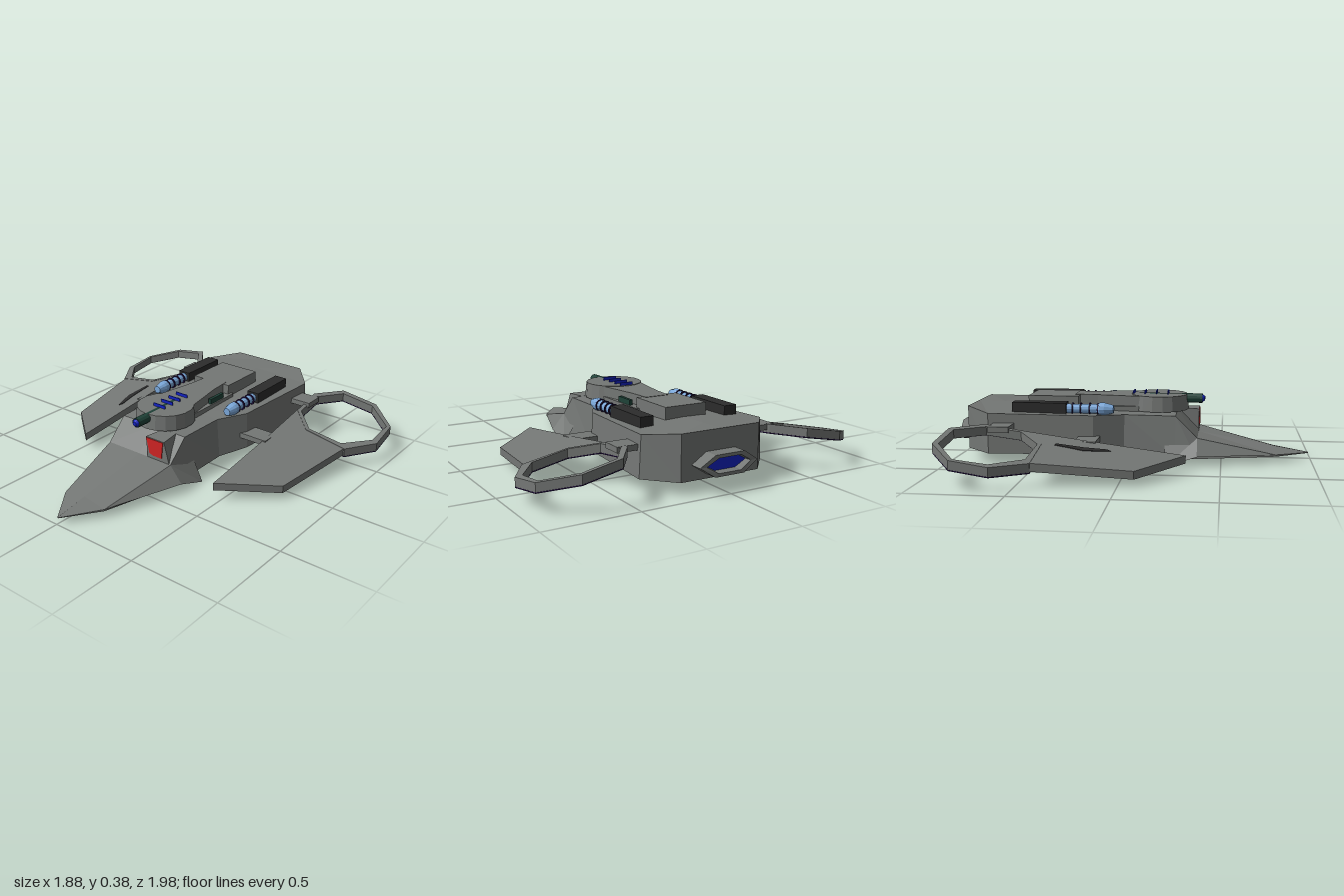
import * as THREE from 'three';

const mat = (name, color, side = THREE.FrontSide) => {
  const m = new THREE.MeshStandardMaterial({ color, flatShading: true, side });
  m.name = name;
  return m;
};

export function createModel() {
  const model = new THREE.Group();
  model.name = 'gunship';
  const grey = mat('hull grey', 0x747775, THREE.DoubleSide);
  const black = mat('housing black', 0x2c2c2c);
  const red = mat('window red', 0xd02424);
  const blue = mat('glow blue', 0x1222c4);
  const sky = mat('barrel light blue', 0x7ba8da);
  const green = mat('barrel dark green', 0x1f4238);
  const purple = mat('trim purple', 0x1f0c3c);

  const add = (name, geo, material, x = 0, y = 0, z = 0, parent = model) => {
    const mesh = new THREE.Mesh(geo, material);
    mesh.name = name;
    mesh.position.set(x, y, z);
    parent.add(mesh);
    return mesh;
  };
  const box = (name, x0, x1, y0, y1, z0, z1, material, parent) =>
    add(name, new THREE.BoxGeometry(x1 - x0, y1 - y0, z1 - z0), material,
      (x0 + x1) / 2, (y0 + y1) / 2, (z0 + z1) / 2, parent);

  // Skin between sections listed back to front, each counter-clockwise from the front
  const loft = (sections, caps = true) => {
    const n = sections[0].length, pos = [];
    const tri = (...p) => p.forEach(q => pos.push(...q));
    for (let i = 0; i + 1 < sections.length; i++)
      for (let j = 0; j < n; j++) {
        const k = (j + 1) % n, A = sections[i], B = sections[i + 1];
        tri(A[j], A[k], B[k]);
        tri(A[j], B[k], B[j]);
      }
    const back = sections[0], front = sections[sections.length - 1];
    if (caps) for (let j = 1; j < n - 1; j++) {
      tri(back[0], back[j + 1], back[j]);
      tri(front[0], front[j], front[j + 1]);
    }
    const g = new THREE.BufferGeometry();
    g.setAttribute('position', new THREE.Float32BufferAttribute(pos, 3));
    g.computeVertexNormals();
    return g;
  };

  // Flat outline given in x, z, raised between two heights
  const slab = (points, y0, y1, holes = []) => {
    const toV = p => new THREE.Vector2(p[0], -p[1]);
    const shape = new THREE.Shape(points.map(toV));
    holes.forEach(h => shape.holes.push(new THREE.Path(h.map(toV))));
    const g = new THREE.ExtrudeGeometry(shape, { depth: y1 - y0, bevelEnabled: false });
    return g.rotateX(-Math.PI / 2).translate(0, y0, 0);
  };

  // Hull and nose: z, top half-width, bottom half-width, bottom, top edge, top centre
  const hull = [
    [-0.91, 0.23, 0.23, 0.07, 0.31, 0.31],
    [-0.76, 0.36, 0.37, 0.07, 0.29, 0.305],
    [-0.19, 0.32, 0.33, 0.07, 0.28, 0.285],
    [-0.03, 0.23, 0.25, 0.05, 0.275, 0.28],
    [0.25, 0.22, 0.25, 0.045, 0.27, 0.275],
    [0.37, 0.22, 0.25, 0.04, 0.15, 0.15],
    [0.80, 0.14, 0.14, 0.04, 0.05, 0.075],
    [0.99, 0.003, 0.003, 0.037, 0.04, 0.042],
  ];
  add('hull', loft(hull.map(([z, t, b, y0, y1, yc]) =>
    [[-b, y0, z], [b, y0, z], [t, y1, z], [0, yc, z], [-t, y1, z]])), grey);
  box('bellyHatch', -0.11, 0.11, 0.062, 0.07, -0.82, -0.5, grey);
  box('bellyStrip', 0.07, 0.09, 0.058, 0.062, -0.6, -0.48, green);

  // Flared skirts behind the nose, ending in points
  for (const s of [1, -1]) {
    const p = [[0.22, 0.15, 0.37], [0.14, 0.05, 0.8], [0.295, 0.06, 0.37],
      [0.22, 0.15, 0.19], [0.305, 0.005, 0.2]].map(q => [s * q[0], q[1], q[2]]);
    const faces = [[0, 2, 1], [0, 4, 2], [0, 3, 4]];
    const g = new THREE.BufferGeometry();
    g.setAttribute('position', new THREE.Float32BufferAttribute(
      faces.flatMap(f => (s > 0 ? f : [f[0], f[2], f[1]]).flatMap(i => p[i])), 3));
    g.computeVertexNormals();
    add(s > 0 ? 'leftSkirt' : 'rightSkirt', g, grey);
  }

  // Cockpit bay with its red window
  const bay = (z, y0, y1, a, b, c, d) => [[a, y0, z], [b, y0, z], [d, y1, z], [c, y1, z]];
  add('cockpitBay', loft([bay(0.25, 0.15, 0.272, 0.06, 0.19, 0.07, 0.16),
    bay(0.37, 0.15, 0.27, 0.06, 0.21, 0.05, 0.175)]), grey);
  const pane = new THREE.Shape([[0.055, 0.266], [0.075, 0.18], [0.1, 0.17], [0.16, 0.17],
    [0.17, 0.266]].map(p => new THREE.Vector2(...p)));
  add('cockpitWindow', new THREE.ExtrudeGeometry(pane, { depth: 0.004, bevelEnabled: false }),
    red, 0, 0, 0.37);

  // Hexagonal exhaust, notched at the sides, with a glowing plate
  const hex = (w, h, z, notch) => [[-w, 0], [-w * 0.5, -h], [w * 0.5, -h], [w, 0],
    [w * 0.5, h], [-w * 0.5, h]].map(([x, y]) => [x, 0.15 + y, z + notch * Math.abs(x) / w]);
  add('exhaustShroud', loft([hex(0.12, 0.033, -0.93, 0), hex(0.13, 0.038, -0.995, 0.015),
    hex(0.17, 0.055, -0.995, 0.015), hex(0.17, 0.055, -0.9, 0)], false), grey);
  add('exhaustGlow', loft([hex(0.125, 0.035, -0.945, 0), hex(0.125, 0.035, -0.938, 0)]), blue);

  // Turret: deck box, flared arm and round mount
  box('turretDeck', -0.14, 0.11, 0.29, 0.36, -0.585, -0.3, grey);
  add('turretArm', slab([[-0.07, -0.33], [-0.08, -0.2], [-0.125, 0.06], [0.125, 0.06],
    [0.08, -0.2], [0.07, -0.33]], 0.28, 0.362), grey);
  add('turretFoot', slab([[-0.125, -0.33], [-0.125, 0.06], [0.125, 0.06], [0.125, -0.33]],
    0.27, 0.305), grey);
  add('turretMount', new THREE.CylinderGeometry(0.16, 0.168, 0.085, 18), grey, 0, 0.322, 0.145);
  box('turretVent', 0.1, 0.118, 0.3, 0.335, -0.24, -0.12, green);

  // Main cannon with square cooling plates
  const rod = (r0, r1, len) => new THREE.CylinderGeometry(r0, r1, len, 12).rotateX(Math.PI / 2);
  add('cannonBarrel', rod(0.027, 0.027, 0.36), green, 0, 0.34, 0.21);
  add('cannonMuzzle', rod(0.012, 0.022, 0.015), blue, 0, 0.34, 0.397);
  for (const z of [0, 0.065, 0.13, 0.195])
    box('coolingPlate', -0.04, 0.04, 0.3, 0.382, z - 0.003, z + 0.003, blue);

  // Wing height falls outwards and forwards
  const tilt = g => {
    const p = g.attributes.position;
    for (let i = 0; i < p.count; i++)
      p.setY(i, p.getY(i) + 0.085 - 0.19 * (Math.abs(p.getX(i)) - 0.465) - 0.12 * (p.getZ(i) - 0.32));
    g.computeVertexNormals();
    return g;
  };
  const flip = (pts, s) => pts.map(([x, z]) => [s * x, z]);
  const wing = [[0.465, 0.32], [0.745, 0.08], [0.825, -0.43], [0.79, -0.45], [0.59, -0.435],
    [0.465, -0.55], [0.44, -0.57], [0.455, -0.2]];
  const ringOut = [[0.83, -0.42], [0.94, -0.595], [0.925, -0.795], [0.76, -0.93],
    [0.545, -0.915], [0.43, -0.755], [0.445, -0.54], [0.58, -0.415]];
  const ringIn = [[0.79, -0.45], [0.905, -0.605], [0.905, -0.78], [0.75, -0.9],
    [0.56, -0.885], [0.46, -0.74], [0.465, -0.55], [0.59, -0.435]];
  const patch = [[0.57, -0.35], [0.55, -0.345], [0.55, -0.2], [0.535, -0.08], [0.55, -0.06],
    [0.57, -0.12], [0.59, -0.2], [0.58, -0.26]];

  for (const s of [1, -1]) {
    const side = new THREE.Group();
    side.name = s > 0 ? 'leftSide' : 'rightSide';
    model.add(side);
    add('wing', tilt(slab(flip(wing, s), -0.022, 0.02)), grey, 0, 0, 0, side);
    add('wingRing', tilt(slab(flip(ringOut, s), -0.024, 0.022, [flip(ringIn, s)])),
      grey, 0, 0, 0, side);
    add('ringTrim', tilt(slab(flip(ringOut, s), -0.03, -0.0245, [flip(ringIn, s)])),
      purple, 0, 0, 0, side);
    if (s < 0) // dark panel seen on both faces of one wing
      for (const y of [-0.025, 0.019])
        add('wingPanel', tilt(slab(flip(patch, s), y, y + 0.004)), black, 0, 0, 0, side);

    // Struts joining wing and hull
    const strut = (y, z) => add('strut', new THREE.BoxGeometry(0.18, 0.03, 0.115), grey,
      s * 0.385, y, z, side);
    strut(0.222, -0.675);
    strut(0.153, -0.21);

    // Side gun: housing, ringed barrel and bulged muzzle
    const gx = s * 0.255;
    add('gunHousing', new THREE.BoxGeometry(0.076, 0.085, 0.3), black, gx, 0.3, -0.492, side);
    add('gunBarrel', rod(0.026, 0.026, 0.2), sky, gx, 0.308, -0.25, side);
    const muzzle = [[0, -0.035], [0.026, -0.035], [0.035, -0.015], [0.035, 0.01],
      [0.026, 0.045], [0.022, 0.06], [0, 0.06]].map(p => new THREE.Vector2(...p));
    add('gunMuzzle', new THREE.LatheGeometry(muzzle, 12).rotateX(Math.PI / 2), sky,
      gx, 0.308, -0.145, side);
    for (const z of [-0.31, -0.265, -0.215, -0.17])
      add('gunRing', rod(0.034, 0.034, 0.007), purple, gx, 0.308, z, side);
  }
  return model;
}
